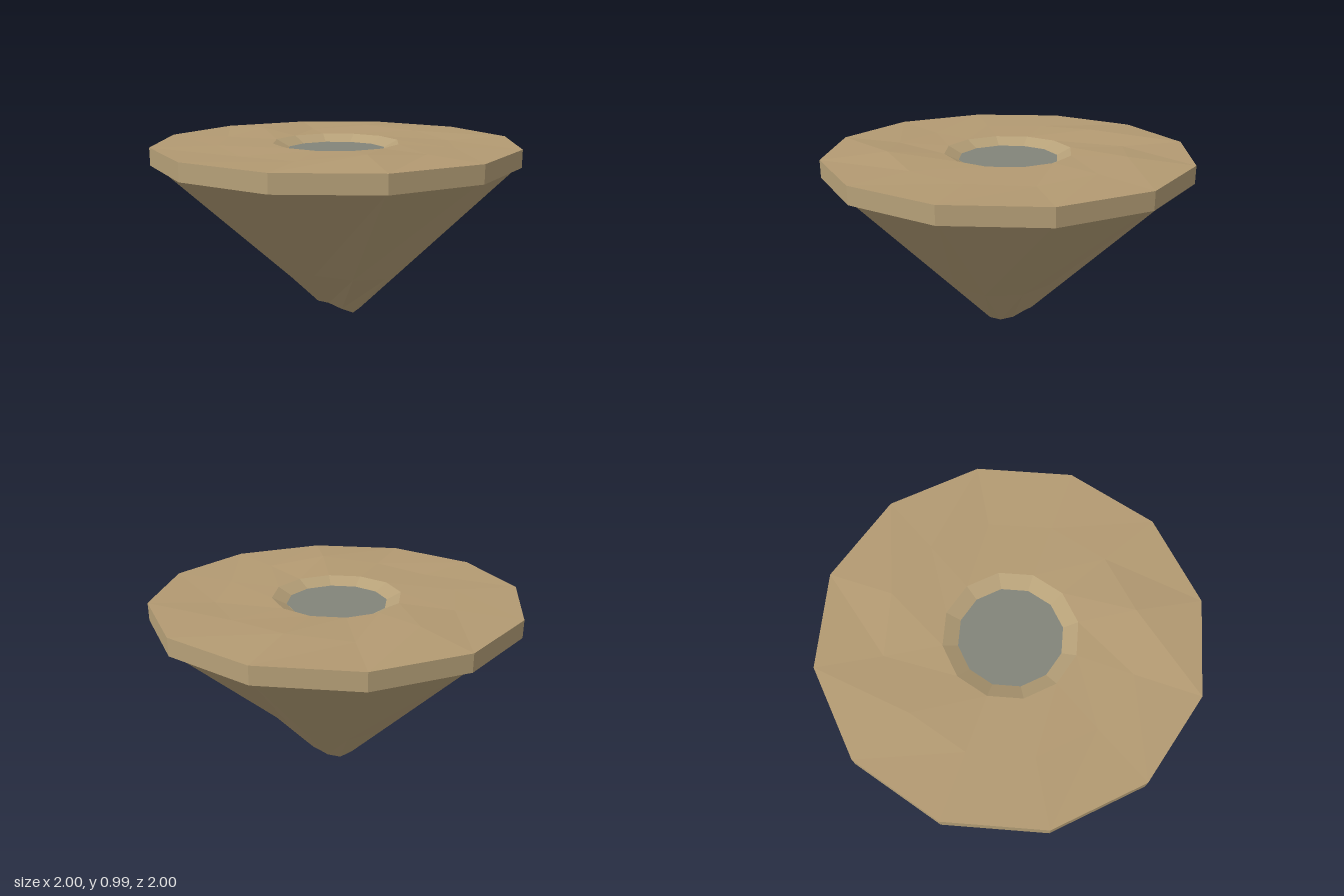
import * as THREE from 'three';

const SIDES = 12;

// A ring of points; radius and height may be a number or one value per corner
function ring(radius, height) {
  const at = (v, i) => (Array.isArray(v) ? v[i] : v);
  return Array.from({ length: SIDES }, (_, i) => {
    const a = (i / SIDES) * Math.PI * 2;
    return [Math.cos(a) * at(radius, i), at(height, i), Math.sin(a) * at(radius, i)];
  });
}

// Joins consecutive rings with unshared, flat triangles
function loft(rings) {
  const pos = [];
  for (let k = 0; k < rings.length - 1; k++) {
    const lower = rings[k], upper = rings[k + 1];
    for (let i = 0; i < SIDES; i++) {
      const j = (i + 1) % SIDES;
      pos.push(...lower[i], ...upper[i], ...lower[j]);
      pos.push(...lower[j], ...upper[i], ...upper[j]);
    }
  }
  const geo = new THREE.BufferGeometry();
  geo.setAttribute('position', new THREE.Float32BufferAttribute(pos, 3));
  geo.computeVertexNormals();
  return geo;
}

export function createModel() {
  const group = new THREE.Group();
  const material = (name, color) => {
    const m = new THREE.MeshStandardMaterial({ color, flatShading: true, side: THREE.DoubleSide });
    m.name = name;
    return m;
  };
  const rock = material('sandy rock', 0xb6a078);
  const ground = material('dry ground', 0xb39a72);
  const stone = material('grey pool', 0x82857a);

  const add = (name, geo, mat) => {
    const mesh = new THREE.Mesh(geo, mat);
    mesh.name = name;
    group.add(mesh);
  };

  // Shared rings
  const rimTop = ring(1, 0.96);
  const pitEdge = ring(0.35, 0.96);

  // Tapering underside with a jagged, open tip
  const tipHeights = [0, 0.035, 0.07, 0.07, 0.085, 0.06, 0.05, 0.03, 0.04, 0.05, 0.025, 0.005];
  const midRadii = Array.from({ length: SIDES }, (_, i) => (i === 9 ? 0.33 : 0.39));
  const midHeights = Array.from({ length: SIDES }, (_, i) => {
    if (i === 9) return 0.27;
    // keeps the other corners on a straight slope
    return tipHeights[i] + ((0.39 - 0.14) / (0.975 - 0.14)) * (0.865 - tipHeights[i]);
  });
  add('underside', loft([ring(0.14, tipHeights), ring(midRadii, midHeights), ring(0.975, 0.865)]), rock);

  // Overhanging rim band
  add('rim', loft([ring(0.975, 0.865), ring(1, 0.865), rimTop]), rock);

  // Gently uneven ground around the pit
  const hills = [0.965, 0.988, 0.955, 0.948, 0.96, 0.962, 0.98, 0.952, 0.978, 0.965, 0.948, 0.955];
  add('ground', loft([rimTop, ring(0.65, hills), pitEdge]), ground);

  // Sloping pit wall and the flat pool inside it
  add('pitWall', loft([pitEdge, ring(0.272, 0.92)]), rock);
  const pool = new THREE.CircleGeometry(0.273, SIDES);
  pool.rotateX(-Math.PI / 2).translate(0, 0.922, 0);
  add('pool', pool, stone);

  return group;
}
